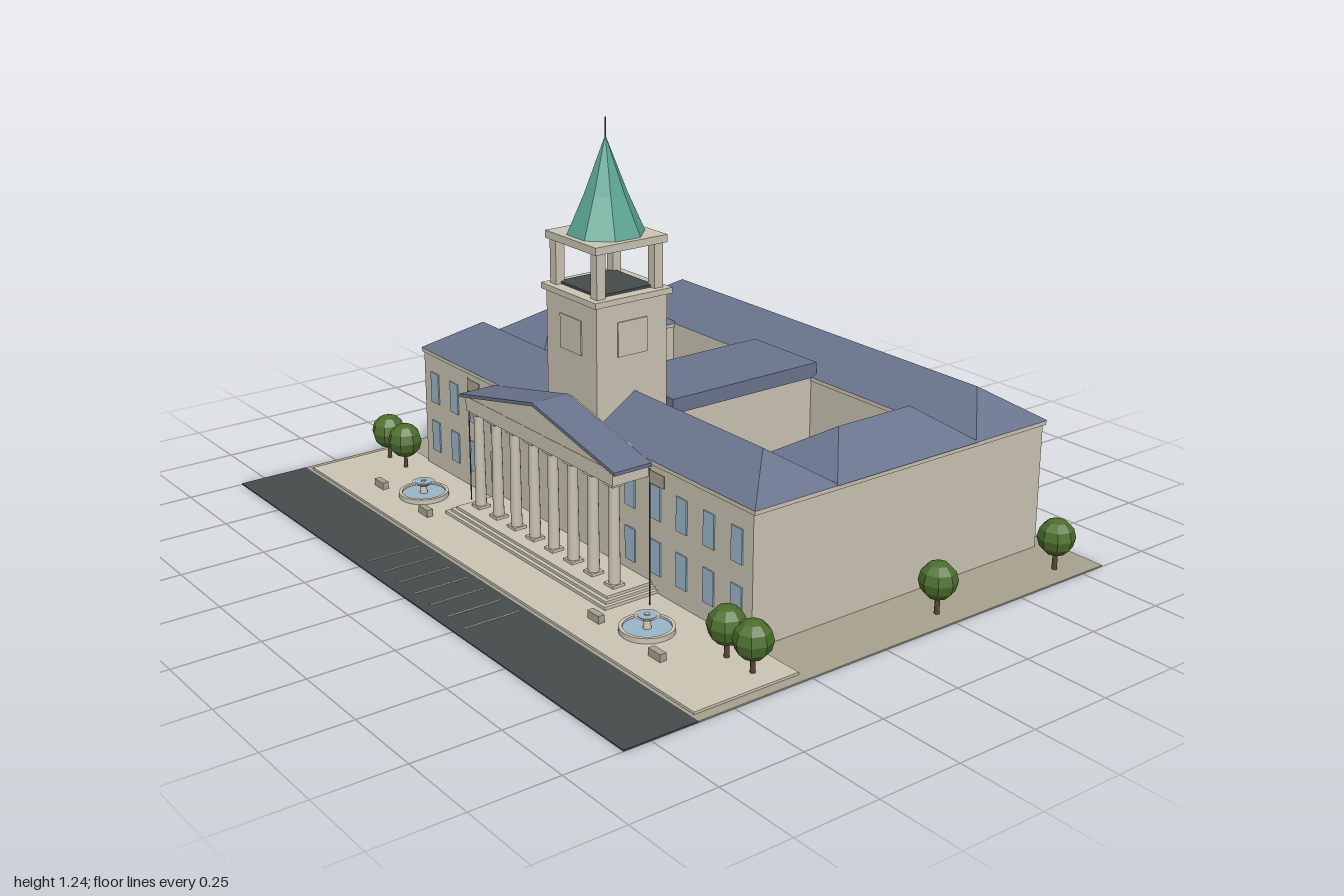
import * as THREE from 'three';

const mat = (name, color) => {
  const m = new THREE.MeshStandardMaterial({ color });
  m.name = name;
  return m;
};

export function createModel() {
  const root = new THREE.Group();
  root.name = 'civicHall';
  const stone = mat('limestone', 0xcbc4b3), slate = mat('slate', 0x69748d), copper = mat('copper', 0x5ba691);
  const grass = mat('grass', 0x7f8c4c), asphalt = mat('asphalt', 0x464b4c), glass = mat('paleBlue', 0x9ab6c8);
  const leaf = mat('foliage', 0x4c6e2c), bark = mat('bark', 0x584632), paving = mat('paving', 0xa8a28f);

  const add = (name, geo, m, x = 0, y = 0, z = 0, parent = root) => {
    const mesh = new THREE.Mesh(geo, m);
    mesh.name = name;
    mesh.position.set(x, y, z);
    parent.add(mesh);
    return mesh;
  };
  // Box from its extents along each axis
  const box = (name, m, x0, x1, y0, y1, z0, z1, parent) =>
    add(name, new THREE.BoxGeometry(x1 - x0, y1 - y0, z1 - z0), m, (x0 + x1) / 2, (y0 + y1) / 2, (z0 + z1) / 2, parent);
  const flat = (geo) => {
    const g = geo.index ? geo.toNonIndexed() : geo;
    g.computeVertexNormals();
    return g;
  };
  const cyl = (name, m, rt, rb, h, x, y, z, seg = 16, parent = root) =>
    add(name, new THREE.CylinderGeometry(rt, rb, h, seg), m, x, y + h / 2, z, parent);

  // Hipped roof with its ridge along x
  const hipRoof = (length, depth, h, inset) => {
    const a = length / 2, b = depth / 2, r = a - inset;
    const g = new THREE.BufferGeometry();
    g.setAttribute('position', new THREE.Float32BufferAttribute(
      [-a, 0, b, a, 0, b, a, 0, -b, -a, 0, -b, -r, h, 0, r, h, 0], 3));
    g.setIndex([0, 1, 5, 0, 5, 4, 2, 3, 4, 2, 4, 5, 1, 2, 5, 3, 0, 4, 0, 3, 2, 0, 2, 1]);
    return flat(g);
  };

  // Grounds
  box('ground', paving, -1, 1, 0, 0.004, -0.83, 0.61);
  box('road', asphalt, -1, 1, 0, 0.004, 0.61, 0.83);
  box('plaza', stone, -0.97, 0.97, 0.002, 0.011, 0.27, 0.6);
  for (let i = -3; i <= 3; i++)
    box('parkingLine', stone, i * 0.0865 - 0.003, i * 0.0865 + 0.003, 0.003, 0.006, 0.63, 0.8);

  // Wings around two courtyards
  const EAVE = 0.39, RISE = 0.092;
  for (const [name, z, inset] of [['frontWing', 0.143, 0.14], ['backWing', -0.64, 0.14]]) {
    box(name + 'Walls', stone, -0.8, 0.8, 0, 0.38, z - 0.135, z + 0.137);
    box(name + 'Cornice', stone, -0.808, 0.808, 0.377, EAVE, z - 0.14, z + 0.14);
    add(name + 'Roof', hipRoof(1.62, 0.284, RISE, inset), slate, 0, EAVE, z);
  }
  for (const s of [-1, 1]) {
    const x = s * 0.67;
    box('sideWingWalls', stone, x - 0.13, x + 0.13, 0, 0.38, -0.52, 0.02);
    box('sideWingCornice', stone, x - 0.138, x + 0.138, 0.377, EAVE, -0.51, 0.01);
    add('sideWingRoof', hipRoof(0.52, 0.284, RISE, 0.13), slate, x, EAVE, -0.248).rotation.y = Math.PI / 2;
    box('courtyardLawn', grass, s * 0.335 - 0.2, s * 0.335 + 0.2, 0.002, 0.008, -0.51, 0.01);
  }
  box('middleWingWalls', stone, -0.132, 0.132, 0, EAVE, -0.52, 0.02);
  box('middleWingRoof', slate, -0.142, 0.142, EAVE, 0.435, -0.515, 0.025);

  // Two rows of front windows
  for (const s of [-1, 1])
    for (let i = 0; i < 5; i++)
      for (const y of [0.065, 0.225]) {
        const x = s * (0.738 - i * 0.1135);
        box('window', glass, x - 0.022, x + 0.022, y, y + 0.098, 0.278, 0.284);
      }

  // Portico: steps, columns, entablature and gable
  const portico = new THREE.Group();
  portico.name = 'portico';
  root.add(portico);
  for (let i = 0; i < 3; i++)
    box('step', stone, -0.405 + i * 0.012, 0.405 - i * 0.012, 0.005, 0.02 + i * 0.008, 0.27, 0.455 - i * 0.012, portico);
  for (let i = 0; i < 8; i++) {
    const x = (i - 3.5) * 0.096;
    cyl('column', stone, 0.0145, 0.017, 0.3, x, 0.035, 0.373, 14, portico);
    box('columnBase', stone, x - 0.02, x + 0.02, 0.034, 0.044, 0.353, 0.393, portico);
    box('columnCapital', stone, x - 0.02, x + 0.02, 0.328, 0.338, 0.353, 0.393, portico);
  }
  box('entablature', stone, -0.365, 0.365, 0.337, 0.38, 0.27, 0.398, portico);
  const extrude = (pts, depth) => new THREE.ExtrudeGeometry(
    new THREE.Shape(pts.map(([x, y]) => new THREE.Vector2(x, y))), { depth, bevelEnabled: false });
  add('pediment', extrude([[-0.365, 0.379], [0.365, 0.379], [0, 0.458]], 0.125), stone, 0, 0, 0.272, portico);
  add('porticoRoof', extrude([[-0.385, 0.374], [0, 0.457], [0.385, 0.374], [0.385, 0.384], [0, 0.467], [-0.385, 0.384]], 0.122),
    slate, 0, 0, 0.285, portico);

  // Tower with open belfry and spire
  const tower = new THREE.Group();
  tower.name = 'tower';
  tower.position.z = 0.152;
  root.add(tower);
  box('towerShaft', stone, -0.12, 0.12, 0.3, 0.746, -0.12, 0.12, tower);
  for (let i = 0; i < 4; i++) {
    const side = new THREE.Group();
    side.name = 'towerSide';
    side.rotation.y = i * Math.PI / 2;
    tower.add(side);
    box('towerPanel', stone, -0.05, 0.05, 0.59, 0.69, 0.119, 0.124, side);
    box('belfryPost', stone, 0.083, 0.112, 0.758, 0.9, 0.083, 0.112, side);
  }
  box('belfrySill', stone, -0.131, 0.131, 0.744, 0.761, -0.131, 0.131, tower);
  box('belfryFloor', asphalt, -0.095, 0.095, 0.76, 0.768, -0.095, 0.095, tower);
  box('belfryCornice', stone, -0.121, 0.121, 0.89, 0.912, -0.121, 0.121, tower);
  const spire = new THREE.LatheGeometry(
    [[0, 0.908], [0.113, 0.908], [0.061, 1.025], [0.002, 1.18]].map(([r, y]) => new THREE.Vector2(r, y)), 8, Math.PI / 8);
  add('spire', flat(spire), copper, 0, 0, 0, tower);
  cyl('finial', asphalt, 0.002, 0.003, 0.07, 0, 1.165, 0, 6, tower);

  // Plaza furniture
  const ring = (r0, r1, h) => {
    const s = new THREE.Shape().absarc(0, 0, r1, 0, Math.PI * 2);
    s.holes.push(new THREE.Path().absarc(0, 0, r0, 0, Math.PI * 2, true));
    return new THREE.ExtrudeGeometry(s, { depth: h, bevelEnabled: false, curveSegments: 24 }).rotateX(-Math.PI / 2);
  };
  for (const s of [-1, 1]) {
    const x = s * 0.565, z = 0.435;
    add('fountainRim', ring(0.065, 0.075, 0.016), stone, x, 0.01, z);
    cyl('fountainWater', glass, 0.066, 0.066, 0.01, x, 0.01, z, 24);
    cyl('fountainStem', stone, 0.008, 0.012, 0.03, x, 0.018, z);
    cyl('fountainBowl', stone, 0.034, 0.018, 0.01, x, 0.046, z, 20);
    cyl('bowlWater', glass, 0.027, 0.027, 0.002, x, 0.0555, z, 20);
    cyl('fountainJet', stone, 0.008, 0.008, 0.006, x, 0.055, z);
    for (const bx of [0.435, 0.7])
      box('bench', paving, s * bx - 0.025, s * bx + 0.025, 0.01, 0.033, 0.495, 0.515);
    const px = s * 0.448;
    cyl('flagpole', asphalt, 0.002, 0.002, 0.392, px, 0.01, 0.338, 6);
    box('flag', paving, px, px + 0.062, 0.362, 0.398, 0.3365, 0.3395);
  }

  // Trees
  const tree = (x, z, k) => {
    const g = new THREE.Group();
    g.name = 'tree';
    g.position.set(x, 0.003, z);
    g.scale.setScalar(k);
    root.add(g);
    cyl('trunk', bark, 0.006, 0.008, 0.07, 0, 0, 0, 6, g);
    add('crown', flat(new THREE.SphereGeometry(0.054, 8, 6)), leaf, 0, 0.098, 0, g);
  };
  for (const s of [-1, 1]) {
    for (const [x, z] of [[0.935, -0.705], [0.935, -0.245], [0.902, 0.362], [0.8, 0.362]]) tree(s * x, z, 1);
    tree(s * 0.333, -0.247, 0.8);
  }
  return root;
}
